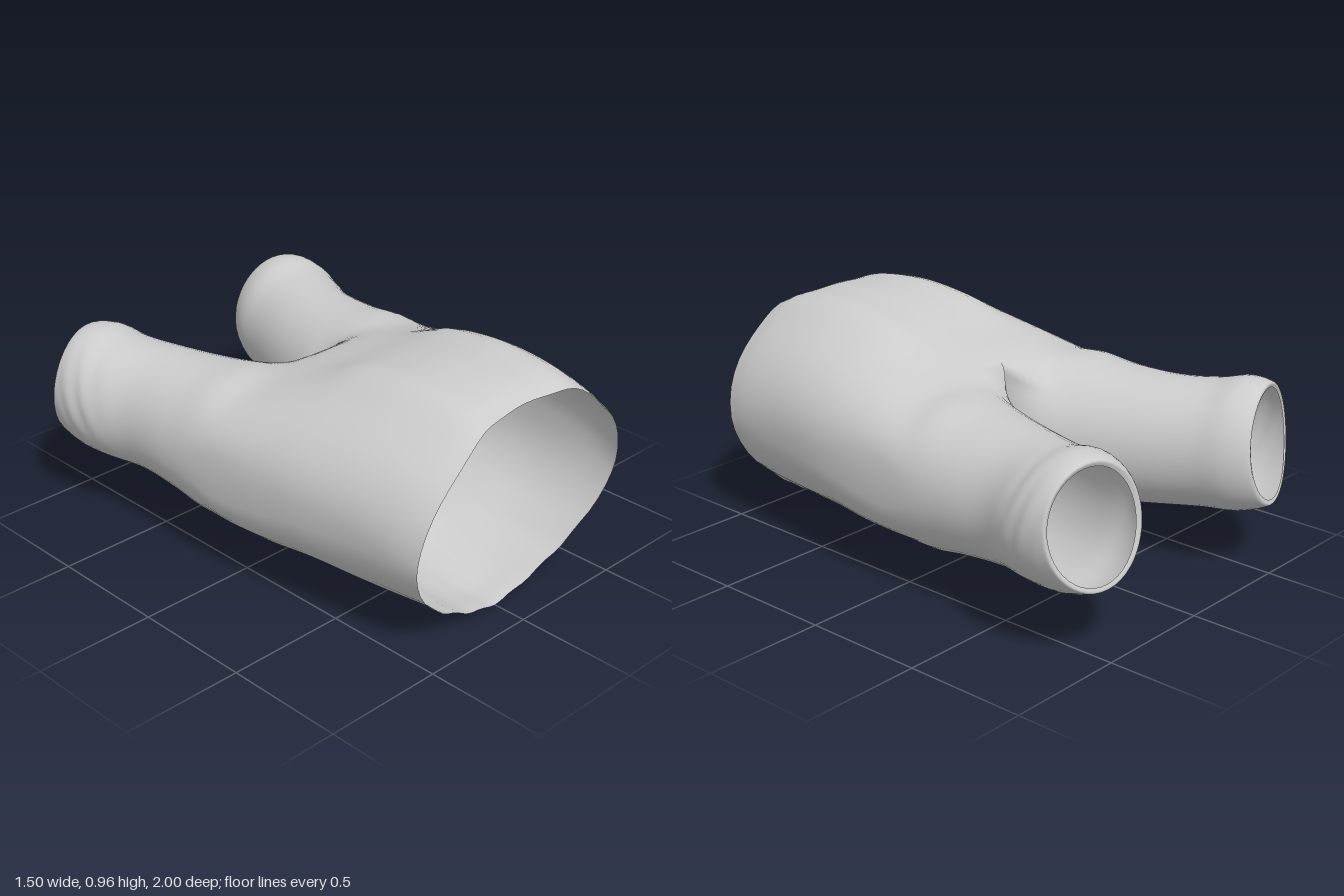
import * as THREE from 'three';
import { mergeGeometries, mergeVertices } from 'three/addons/utils/BufferGeometryUtils.js';

const OUTER = 32, INNER = 14, STEPS = 6; // columns outside, columns inside the leg, rows per section
const { smoothstep } = THREE.MathUtils;

// Sections of one half: [centreX, radiusX, top, bottom, z, slope of z over x,
//   drop of z at the bottom, squareness above, squareness below]
const TRUNK = [
  [0, 0.555, 0.875, 0.003, 1.0, 0, 0.14, 2.05, 1.8],
  [0, 0.575, 0.915, 0.022, 0.89, 0, 0.08, 2, 1.95],
  [0, 0.605, 0.94, 0.06, 0.65, 0, 0.04, 2, 2.3],
  [0, 0.635, 0.905, 0.095, 0.4, 0, 0, 2.1, 2.6],
  [0, 0.65, 0.835, 0.107, 0.18, 0, 0, 2.45, 2.9],
  [0, 0.658, 0.768, 0.12, -0.03, 0, -0.03, 2.9, 3],
];
const LEG = [
  [0.345, 0.318, 0.745, 0.138, -0.17, 0.03, 0, 2.2, 2.2],
  [0.375, 0.288, 0.728, 0.163, -0.33, 0.06, 0, 2.05, 2.05],
  [0.422, 0.248, 0.722, 0.193, -0.56, 0.12, 0, 2, 2],
  [0.48, 0.243, 0.735, 0.21, -0.73, 0.18, 0, 2, 2],
  [0.508, 0.237, 0.76, 0.222, -0.835, 0.23, 0.03, 2, 2],
  [0.53, 0.215, 0.752, 0.252, -0.905, 0.26, 0.05, 2, 2],
  [0.538, 0.202, 0.74, 0.267, -0.925, 0.26, 0.055, 2, 2],
  // turned-in hem
  [0.54, 0.184, 0.722, 0.285, -0.92, 0.26, 0.055, 2, 2],
];

const squash = (v, n) => Math.sign(v) * Math.pow(Math.abs(v), 2 / n);

function sectionPoint([cx, rx, top, bottom, z, slope, drop, above, below], angle) {
  const n = Math.sin(angle) > 0 ? above : below;
  const c = squash(Math.cos(angle), n), s = squash(Math.sin(angle), n);
  const x = cx + rx * c;
  const y = (top + bottom) / 2 + ((top - bottom) / 2) * s;
  let pz = z + slope * rx * c - drop * ((1 - s) / 2) ** 2;
  if (z > 0.95 && s > 0) pz -= 0.05 * s * Math.exp(-((x / 0.25) ** 2)); // dip in the waist edge
  return new THREE.Vector3(Math.abs(x) < 1e-6 ? 0 : x, y, pz);
}

// Full seat, hanging belly with soft folds, and creases at the outer ankles
function drape(p) {
  const { x, y, z } = p;
  const under = smoothstep(z, 0.2, 0.5) * smoothstep(0.35 - y, 0, 0.2);
  const belly = 0.055 * (1 - smoothstep(z, 0.7, 0.98)) * Math.exp(-((x / 0.2) ** 2));
  p.y += under * (0.005 * (1 - Math.cos(x * 38)) - belly);
  p.y += 0.03 * smoothstep(z, 0.1, 0.4) * smoothstep(y, 0.6, 0.75) * Math.exp(-(((x - 0.25) / 0.1) ** 2));
  const ankle = Math.exp(-(((z + 0.74) / 0.09) ** 2)) * smoothstep(x, 0.5, 0.68) * smoothstep(y, 0.3, 0.5);
  p.x += ankle * 0.004 * Math.sin(z * 70 + y * 25);
  return p;
}

// Smooth columns through their section points, then join neighbours with faces
function skin(columns, mirror) {
  const rows = (columns[0].length - 1) * STEPS;
  const positions = [], index = [];
  for (const column of columns) {
    const curve = new THREE.CatmullRomCurve3(column);
    for (let i = 0; i <= rows; i++) {
      const p = drape(curve.getPoint(i / rows));
      positions.push(p.x * mirror, p.y, p.z);
    }
  }
  const stride = rows + 1;
  for (let j = 0; j < columns.length - 1; j++) {
    for (let i = 0; i < rows; i++) {
      const a = j * stride + i, b = a + stride, c = a + 1, d = b + 1;
      if (mirror > 0) index.push(a, b, c, b, d, c);
      else index.push(a, c, b, b, c, d);
    }
  }
  const g = new THREE.BufferGeometry();
  g.setAttribute('position', new THREE.Float32BufferAttribute(positions, 3));
  g.setIndex(index);
  return g;
}

function halfGarment(mirror) {
  const open = THREE.MathUtils.degToRad(132); // where the leg's outside meets its inside
  const outer = [], inner = [];
  for (let j = 0; j <= OUTER; j++) {
    const legAngle = open * (1 - (2 * j) / OUTER);
    // matching angle on the trunk, so columns run straight into the leg
    const across = Math.max(0, (Math.cos(legAngle) - Math.cos(open)) / (1 - Math.cos(open)));
    const trunkAngle = Math.atan2(Math.sin(legAngle), across);
    outer.push([
      ...TRUNK.map((s) => sectionPoint(s, trunkAngle)),
      ...LEG.map((s) => sectionPoint(s, legAngle)),
    ]);
  }
  // crotch seam on the centre plane, running from underside to top
  const crotch = TRUNK.length - 1;
  const low = outer[OUTER][crotch], high = outer[0][crotch];
  for (let j = 0; j <= INNER; j++) {
    const t = j / INNER;
    const seam = low.clone().lerp(high, t);
    seam.z += 0.05 * Math.sin(Math.PI * t);
    const angle = -open - t * 2 * (Math.PI - open);
    inner.push([seam, ...LEG.map((s) => sectionPoint(s, angle))]);
  }
  // the edge columns share the outside's curve so the seam closes
  const parts = [skin(outer, mirror), skin(inner, mirror)];
  const legRows = LEG.length * STEPS, allRows = (TRUNK.length + LEG.length - 1) * STEPS;
  const [from, to] = parts.map((g) => g.attributes.position);
  for (let i = 0; i <= legRows; i++) {
    [[OUTER, 0], [0, INNER]].forEach(([o, n]) => {
      const k = o * (allRows + 1) + crotch * STEPS + i;
      to.setXYZ(n * (legRows + 1) + i, from.getX(k), from.getY(k), from.getZ(k));
    });
  }
  return parts;
}

export function createModel() {
  const group = new THREE.Group();
  group.name = 'trousers';
  const geometry = mergeVertices(mergeGeometries([...halfGarment(1), ...halfGarment(-1)]), 1e-4);
  geometry.computeVertexNormals();
  const cloth = new THREE.MeshStandardMaterial({ color: 0xcccccc, side: THREE.DoubleSide });
  const mesh = new THREE.Mesh(geometry, cloth);
  mesh.name = 'trouserCloth';
  group.add(mesh);
  return group;
}
